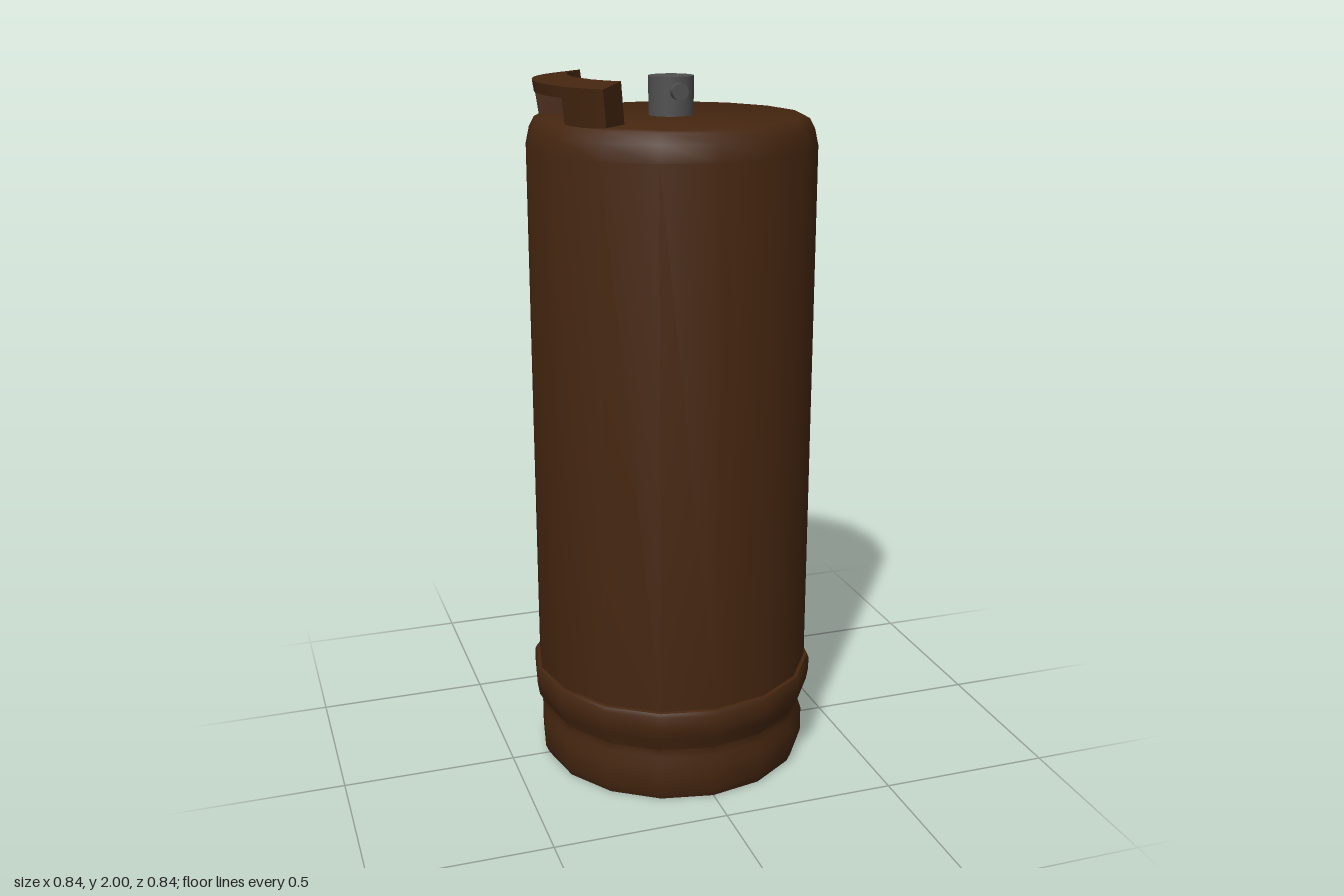
import * as THREE from 'three';
import { toCreasedNormals } from 'three/addons/utils/BufferGeometryUtils.js';

export function createModel() {
  const model = new THREE.Group();
  model.name = 'gasCylinder';

  const brown = new THREE.MeshStandardMaterial({ color: 0x452610 });
  brown.name = 'brown paint';
  const grey = new THREE.MeshStandardMaterial({ color: 0x505050 });
  grey.name = 'grey metal';

  const add = (name, geometry, material, parent = model) => {
    const mesh = new THREE.Mesh(geometry, material);
    mesh.name = name;
    parent.add(mesh);
    return mesh;
  };

  // Tank: one turned profile from the hollow underside, round the foot ring, to the flat top
  const profile = [
    [0, 0.14], [0.2, 0.12], [0.32, 0.08], [0.36, 0.03], [0.365, 0],
    [0.387, 0], [0.398, 0.025], [0.398, 0.1], [0.388, 0.13], [0.386, 0.155],
    [0.412, 0.2], [0.418, 0.235], [0.418, 0.272], [0.412, 0.283], [0.403, 0.285],
    [0.403, 1.81], [0.393, 1.855], [0.378, 1.883], [0.365, 1.89], [0, 1.89],
  ].map(([r, y]) => new THREE.Vector2(r, y));
  add('tank', toCreasedNormals(new THREE.LatheGeometry(profile, 16), 0.65), brown);

  // Curved block round the tank axis on the -x side, leaning outwards as it rises
  const arcBlock = (a0, a1, r0, r1, y0, y1) => {
    const geometry = new THREE.BoxGeometry(1, 1, 1, 1, 1, 6);
    const p = geometry.attributes.position;
    for (let i = 0; i < p.count; i++) {
      const u = p.getX(i) + 0.5, v = p.getY(i) + 0.5, w = p.getZ(i) + 0.5;
      const y = y0 + (y1 - y0) * v - 0.013 * u * v;
      const r = r0 + (r1 - r0) * u + 0.15 * (y - 1.89);
      const a = THREE.MathUtils.degToRad(a0 + (a1 - a0) * w);
      p.setXYZ(i, -r * Math.cos(a), y, -r * Math.sin(a));
    }
    geometry.computeVertexNormals();
    return geometry;
  };

  // Carrying handle: two legs and the grip between them
  const handle = new THREE.Group();
  handle.name = 'handle';
  model.add(handle);
  add('rightLeg', arcBlock(-45, -23, 0.268, 0.365, 1.885, 2), brown, handle);
  add('leftLeg', arcBlock(23, 45, 0.268, 0.365, 1.885, 2), brown, handle);
  add('grip', arcBlock(-23, 23, 0.265, 0.362, 1.957, 2), brown, handle);

  // Valve with a short outlet facing the front
  const valve = add('valve', new THREE.CylinderGeometry(0.062, 0.062, 0.11, 24), grey);
  valve.position.y = 1.94;
  const outlet = add('valveOutlet', new THREE.CylinderGeometry(0.023, 0.023, 0.05, 16), grey);
  outlet.rotation.x = Math.PI / 2;
  outlet.position.set(0, 1.957, 0.057);

  return model;
}
